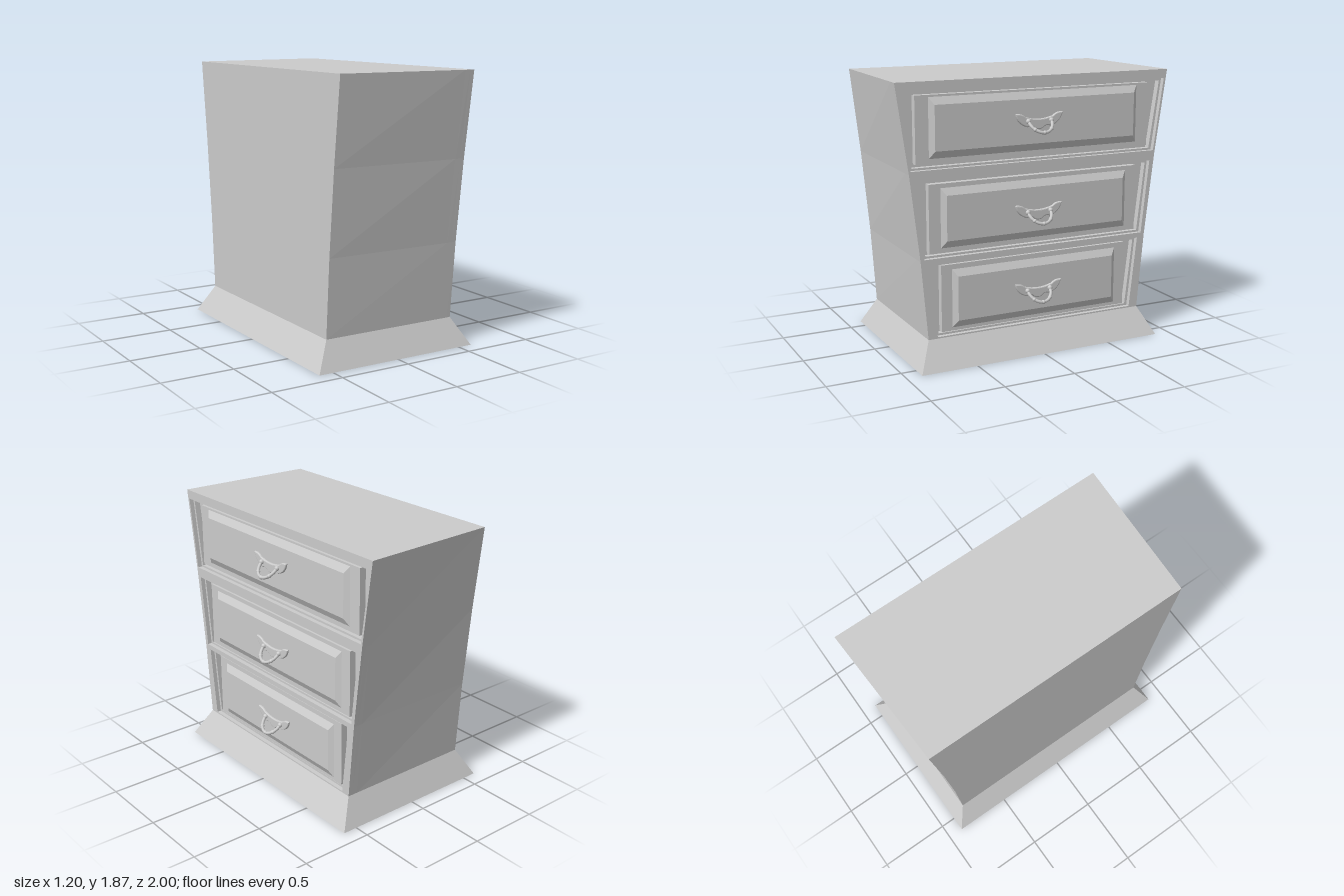
import * as THREE from 'three';

const grey = new THREE.MeshStandardMaterial({ color: 0xcccccc });
const FRONT = 0.49, BACK = -0.495;

function add(parent, name, geometry) {
  const mesh = new THREE.Mesh(geometry, grey);
  mesh.name = name;
  parent.add(mesh);
  return mesh;
}

// Symmetric outline from [halfWidth, y] rows listed bottom to top
function symmetric(rows, Type = THREE.Shape) {
  const right = rows.map(([w, y]) => new THREE.Vector2(w, y));
  const left = rows.map(([w, y]) => new THREE.Vector2(-w, y)).reverse();
  return new Type([...right, ...left]);
}

// Slab of the case between two x planes; the case narrows slightly towards its back
function slab(rows, holes, x0, x1) {
  const shape = symmetric(rows);
  shape.holes = holes.map((h) => symmetric(h, THREE.Path));
  const g = new THREE.ExtrudeGeometry(shape, { depth: x1 - x0, bevelEnabled: false });
  g.rotateY(Math.PI / 2).translate(x0, 0, 0);
  const p = g.attributes.position;
  for (let i = 0; i < p.count; i++) {
    const back = (FRONT - p.getX(i)) / (FRONT - BACK);
    const up = (p.getY(i) - 0.19) / 1.68;
    p.setZ(i, p.getZ(i) * (1 - 0.043 * back * up));
  }
  g.computeVertexNormals();
  return g;
}

// Unit box whose corners are placed by a rule
function shapedBox(rule) {
  const g = new THREE.BoxGeometry(2, 2, 2);
  const p = g.attributes.position;
  for (let i = 0; i < p.count; i++) p.setXYZ(i, ...rule(p.getX(i), p.getY(i), p.getZ(i)));
  g.computeVertexNormals();
  return g;
}

// Drop-ring handle, origin level with the tips of its back plate
function makeHandle() {
  const handle = new THREE.Group();
  handle.name = 'handle';

  // Crescent back plate with a scalloped lower edge
  const s = new THREE.Shape();
  s.moveTo(-0.175, 0);
  s.quadraticCurveTo(-0.13, 0.005, -0.1, -0.022);
  s.quadraticCurveTo(0, -0.055, 0.1, -0.022);
  s.quadraticCurveTo(0.13, 0.005, 0.175, 0);
  s.quadraticCurveTo(0.16, -0.07, 0.085, -0.09);
  s.quadraticCurveTo(0.05, -0.075, 0.03, -0.1);
  s.quadraticCurveTo(0, -0.115, -0.03, -0.1);
  s.quadraticCurveTo(-0.05, -0.075, -0.085, -0.09);
  s.quadraticCurveTo(-0.16, -0.07, -0.175, 0);
  const plate = new THREE.ExtrudeGeometry(s, {
    depth: 0.006, bevelThickness: 0.008, bevelSize: 0.008, bevelOffset: -0.008, bevelSegments: 3, curveSegments: 8,
  });
  add(handle, 'backPlate', plate.rotateY(Math.PI / 2));

  // Ring hanging outwards and down
  const points = [];
  for (let i = 0; i <= 12; i++) {
    const a = (i / 12) * Math.PI;
    const drop = Math.sin(a);
    points.push(new THREE.Vector3(0.018 + 0.067 * drop, -0.05 - 0.07 * drop, 0.085 * Math.cos(a)));
  }
  add(handle, 'ring', new THREE.TubeGeometry(new THREE.CatmullRomCurve3(points), 32, 0.011, 8));

  // Pivots and beads along the ring
  for (const i of [0, 3, 6, 9, 12]) {
    const pivot = i % 12 === 0;
    const bead = add(handle, pivot ? 'pivot' : 'bead', new THREE.SphereGeometry(pivot ? 0.017 : 0.014, 12, 8));
    bead.position.copy(points[i]);
  }
  return handle;
}

// Drawer rows: opening bottom/top as [halfWidth, y], front and raised panel as [halfWidth, y0, y1]
const drawers = [
  { opening: [[0.735, 0.2], [0.79, 0.695]], front: [0.695, 0.22, 0.672], panel: [0.62, 0.24, 0.64], handleY: 0.48 },
  { opening: [[0.82, 0.73], [0.876, 1.24]], front: [0.775, 0.755, 1.212], panel: [0.695, 0.785, 1.185], handleY: 1.02 },
  { opening: [[0.903, 1.31], [0.975, 1.808]], front: [0.86, 1.345, 1.782], panel: [0.77, 1.375, 1.77], handleY: 1.627 },
];

export function createModel() {
  const model = new THREE.Group();
  model.name = 'chestOfDrawers';

  // Flared plinth
  add(model, 'plinth', shapedBox((x, y, z) => (y < 0
    ? [x * 0.602, 0, z * 0.893]
    : [x > 0 ? FRONT : BACK, 0.19, z * 0.8])));

  // Case widening upwards, with two stepped frames around the drawer openings
  const profile = [[0.8, 0.19], [0.847, 0.72], [0.915, 1.29], [1, 1.87]];
  const outer = drawers.map((d) => d.opening);
  const inner = outer.map(([b, t]) => [[b[0] - 0.018, b[1] + 0.014], [t[0] - 0.018, t[1] - 0.018]]);
  add(model, 'case', slab(profile, [], BACK, 0.42));
  add(model, 'innerFrame', slab(profile, inner, 0.42, 0.46));
  add(model, 'outerFrame', slab(profile, outer, 0.46, FRONT));

  for (const { front, panel, handleY } of drawers) {
    const drawer = new THREE.Group();
    drawer.name = 'drawer';
    model.add(drawer);

    const [w, y0, y1] = front;
    add(drawer, 'drawerFront', shapedBox((x, y, z) => [x > 0 ? 0.465 : 0.41, y > 0 ? y1 : y0, z * w]));

    // Raised panel with bevelled edges
    const [pw, p0, p1] = panel;
    add(drawer, 'raisedPanel', shapedBox((x, y, z) => {
      const inset = x > 0 ? 0.05 : 0;
      return [x > 0 ? FRONT : 0.464, y > 0 ? p1 - inset : p0 + inset, z * (pw - inset * 0.7)];
    }));

    const handle = makeHandle();
    handle.position.set(FRONT, handleY, 0);
    drawer.add(handle);
  }
  return model;
}
